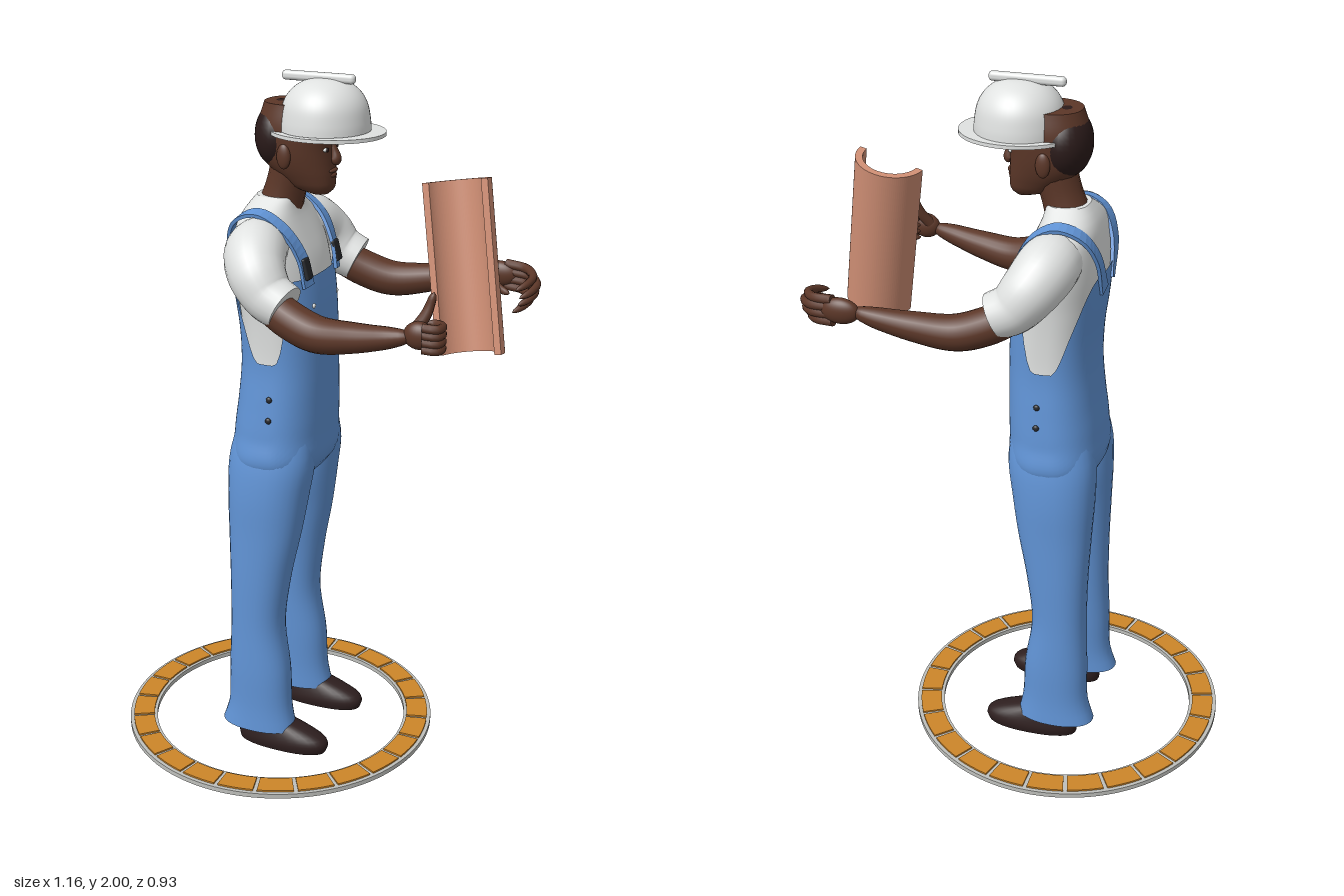
import * as THREE from 'three';
import { RoundedBoxGeometry } from 'three/addons/geometries/RoundedBoxGeometry.js';

const V = (x, y, z) => new THREE.Vector3(x, y, z);
const mat = (name, color, side = THREE.FrontSide) => {
  const m = new THREE.MeshStandardMaterial({ color, side });
  m.name = name;
  return m;
};

// Skin a list of equal-length rings, with creased flat caps
function loft(rings, caps = true) {
  const n = rings[0].length, pos = [], idx = [];
  rings.forEach(r => r.forEach(p => pos.push(p.x, p.y, p.z)));
  for (let i = 0; i < rings.length - 1; i++) for (let j = 0; j < n; j++) {
    const a = i * n + j, b = i * n + (j + 1) % n, c = a + n, d = b + n;
    idx.push(a, c, b, b, c, d);
  }
  if (caps) [rings[0], rings[rings.length - 1]].forEach((r, end) => {
    const s = pos.length / 3, mid = V(0, 0, 0);
    r.forEach(p => { pos.push(p.x, p.y, p.z); mid.addScaledVector(p, 1 / n); });
    pos.push(mid.x, mid.y, mid.z);
    for (let j = 0; j < n; j++) {
      const k = (j + 1) % n;
      idx.push(s + n, s + (end ? k : j), s + (end ? j : k));
    }
  });
  const g = new THREE.BufferGeometry();
  g.setAttribute('position', new THREE.Float32BufferAttribute(pos, 3));
  g.setIndex(idx);
  g.computeVertexNormals();
  return g;
}

// Rows of [y, centre x, half x, centre z, half z] sampled smoothly into superellipse rings
function sampler(rows) {
  const f = new THREE.CubicInterpolant(rows.map(r => r[0]), rows.flatMap(r => r.slice(1)), 4);
  return (y, a, p = 2, grow = 0) => {
    const [cx, rx, cz, rz] = f.evaluate(y), c = Math.cos(a), s = Math.sin(a);
    const e = v => Math.sign(v) * Math.abs(v) ** (2 / p);
    return V(cx + (rx + grow) * e(c), y, cz + (rz + grow) * e(s));
  };
}
function stack(rows, p = 2, steps = 24, n = 32) {
  const at = sampler(rows), y0 = rows[0][0], y1 = rows[rows.length - 1][0];
  return loft(Array.from({ length: steps + 1 }, (_, i) => Array.from({ length: n },
    (_, j) => at(y0 + (y1 - y0) * i / steps, j / n * Math.PI * 2, p))));
}

// Tapering tube through [x, y, z, radius] points
function limb(pts, round = false, steps = 20, n = 16) {
  const curve = new THREE.CatmullRomCurve3(pts.map(p => V(p[0], p[1], p[2])));
  const rad = new THREE.CatmullRomCurve3(pts.map(p => V(p[3], 0, 0)), false, 'catmullrom');
  const fr = curve.computeFrenetFrames(steps);
  return loft(Array.from({ length: steps + 1 }, (_, i) => {
    const u = i / steps, c = curve.getPointAt(u);
    let r = rad.getPoint(curve.getUtoTmapping(u)).x;
    if (round && u > 0.8) r *= Math.max(0.08, Math.sqrt(1 - ((u - 0.8) / 0.2) ** 2));
    return Array.from({ length: n }, (_, j) => {
      const a = j / n * Math.PI * 2;
      return c.clone().addScaledVector(fr.normals[i], r * Math.cos(a))
        .addScaledVector(fr.binormals[i], -r * Math.sin(a));
    });
  }));
}

// Flat strap lying on the body along a path
function strapGeometry(pts, hw, ht) {
  const curve = new THREE.CatmullRomCurve3(pts.map(p => V(...p)));
  const g = loft(Array.from({ length: 29 }, (_, i) => {
    const p = curve.getPointAt(i / 28), t = curve.getTangentAt(i / 28);
    const out = p.clone().sub(V(-0.09, 1.45, p.z * 0.75));
    out.addScaledVector(t, -out.dot(t)).normalize();
    const w = out.clone().cross(t);
    return [[1, 1], [-1, 1], [-1, -1], [1, -1]].map(([a, b]) =>
      p.clone().addScaledVector(out, a * ht).addScaledVector(w, b * hw));
  })).toNonIndexed();
  g.computeVertexNormals();
  return g;
}

// Ring sector lying flat, rising from y0 to y1
function sector(r0, r1, a0, a1, y0, y1) {
  const s = new THREE.Shape();
  s.absarc(0, 0, r1, a0, a1, false);
  if (a1 - a0 > 6.28) s.holes.push(new THREE.Path().absarc(0, 0, r0, 0, Math.PI * 2, true));
  else s.absarc(0, 0, r0, a1, a0, true);
  return new THREE.ExtrudeGeometry(s, { depth: y1 - y0, bevelEnabled: false, curveSegments: a1 - a0 > 6 ? 96 : 6 })
    .rotateX(-Math.PI / 2).translate(-0.11, y0, 0);
}

export function createModel() {
  const root = new THREE.Group();
  root.name = 'worker';
  const blue = mat('denim blue', 0x6194d6, THREE.DoubleSide), white = mat('white', 0xe0e2e1, THREE.DoubleSide);
  const skin = mat('skin', 0x5c3728), dark = mat('hair', 0x2b1b1a), shoe = mat('shoe leather', 0x2e1f1f);
  const clay = mat('clay', 0xd08f75), brick = mat('brick orange', 0xcd8629), grey = mat('mortar grey', 0xbfc0bc);
  const metal = mat('buckle', 0x26282c);
  const add = (name, geo, m) => {
    const mesh = new THREE.Mesh(geo, m);
    mesh.name = name;
    root.add(mesh);
    return mesh;
  };
  const ball = (name, m, x, y, z, rx, ry, rz) =>
    add(name, new THREE.SphereGeometry(1, 28, 20).scale(rx, ry, rz).translate(x, y, z), m);

  // Brick circle on the ground
  add('ringBase', sector(0.383, 0.466, 0, Math.PI * 2, 0.012, 0.026), grey);
  for (let i = 0; i < 24; i++)
    add('ringBrick', sector(0.392, 0.455, (i + 0.05) * Math.PI / 12, (i + 0.95) * Math.PI / 12, 0.02, 0.031), brick);

  // Torso: shirt, and overalls cut low at the sides
  const body = sampler([[0.84, -0.09, 0.07, 0, 0.10], [0.9, -0.085, 0.12, 0, 0.175], [1.0, -0.08, 0.125, 0, 0.174],
    [1.1, -0.073, 0.12, 0, 0.165], [1.2, -0.069, 0.116, 0, 0.156], [1.3, -0.072, 0.116, 0, 0.158],
    [1.4, -0.082, 0.118, 0, 0.166], [1.5, -0.095, 0.11, 0, 0.18], [1.57, -0.105, 0.092, 0, 0.18],
    [1.61, -0.11, 0.08, 0, 0.155], [1.64, -0.108, 0.068, 0, 0.105], [1.665, -0.1, 0.058, 0, 0.065]]);
  const N = 72, angles = Array.from({ length: N }, (_, j) => j / N * Math.PI * 2);
  add('shirt', loft(Array.from({ length: 31 }, (_, i) => angles.map(a => body(1.14 + 0.525 * i / 30, a, 2.4)))), white);
  const topEdge = a => {
    const c = Math.cos(a);
    return c > 0 ? 1.22 + 0.24 * THREE.MathUtils.smoothstep(c, 0.12, 0.68)
      : 1.22 + 0.27 * THREE.MathUtils.smoothstep(-c, 0.15, 0.97);
  };
  add('overallsBody', loft(Array.from({ length: 31 }, (_, i) =>
    angles.map(a => body(THREE.MathUtils.lerp(0.84, topEdge(a), i / 30), a, 2.4, 0.008))), false), blue);

  for (const s of [1, -1]) {
    // Straps, buckles and hip buttons
    add('strap', strapGeometry([[0.03, 1.44, 0.1 * s], [0.014, 1.52, 0.108 * s], [-0.03, 1.595, 0.125 * s],
      [-0.1, 1.637, 0.132 * s], [-0.165, 1.617, 0.122 * s], [-0.203, 1.55, 0.09 * s], [-0.212, 1.44, 0.045 * s]], 0.021, 0.005), blue);
    const buckle = add('buckle', new RoundedBoxGeometry(0.012, 0.06, 0.036, 2, 0.005), metal);
    buckle.position.set(0.027, 1.49, 0.103 * s);
    buckle.rotation.z = 0.25;
    ball('bibButton', white, 0.037, 1.38, 0.08 * s, 0.005, 0.007, 0.007);
    for (const y of [1.12, 1.06]) ball('hipButton', metal, -0.06, y, (y > 1.1 ? 0.17 : 0.177) * s, 0.009, 0.009, 0.006);

    // Trouser leg and shoe
    add('trouserLeg', stack([[0.06, -0.115, 0.116, 0.14 * s, 0.066], [0.12, -0.112, 0.1, 0.138 * s, 0.064],
      [0.25, -0.113, 0.094, 0.135 * s, 0.068], [0.4, -0.12, 0.081, 0.13 * s, 0.07], [0.55, -0.112, 0.09, 0.125 * s, 0.076],
      [0.7, -0.1, 0.108, 0.115 * s, 0.085], [0.82, -0.093, 0.12, 0.104 * s, 0.096], [0.92, -0.085, 0.126, 0.095 * s, 0.095],
      [1.0, -0.08, 0.115, 0.085 * s, 0.085]], 2.2, 32), blue);
    add('shoe', stack([[0, -0.04, 0.138, 0.137 * s, 0.05], [0.02, -0.038, 0.143, 0.137 * s, 0.055],
      [0.04, -0.042, 0.138, 0.137 * s, 0.052], [0.062, -0.062, 0.112, 0.137 * s, 0.046],
      [0.085, -0.09, 0.075, 0.137 * s, 0.04], [0.12, -0.11, 0.05, 0.137 * s, 0.036]], 2.3, 14), shoe);

    // Sleeve and bare arm
    add('sleeve', limb([[-0.1, 1.55, 0.1 * s, 0.075], [-0.09, 1.54, 0.18 * s, 0.084], [-0.062, 1.5, 0.232 * s, 0.079],
      [-0.02, 1.45, 0.25 * s, 0.07], [0.03, 1.425, 0.257 * s, 0.064]], false, 28, 24), white);
    add('arm', limb([[-0.02, 1.43, 0.25 * s, 0.05], [0.05, 1.395, 0.265 * s, 0.052], [0.13, 1.372, 0.278 * s, 0.05],
      [0.24, 1.382, 0.295 * s, 0.041], [0.35, 1.402, 0.31 * s, 0.029], [0.41, 1.415, 0.314 * s, 0.028]], true, 28, 20), skin);

    // Face details and ear
    ball('ear', skin, -0.05, 1.785, 0.083 * s, 0.02, 0.034, 0.011);
    ball('eyeWhite', white, 0.051, 1.802, 0.033 * s, 0.006, 0.006, 0.012);
    ball('iris', dark, 0.0555, 1.802, 0.033 * s, 0.004, 0.006, 0.006);
    const brow = ball('brow', dark, 0, 0, 0, 0.008, 0.006, 0.023);
    brow.position.set(0.054, 1.824, 0.036 * s);
    brow.rotation.x = -0.2 * s;
  }

  // Hand with raised thumb
  ball('palm', skin, 0.425, 1.418, 0.31, 0.042, 0.037, 0.026);
  for (let i = 0; i < 4; i++) {
    const y = 1.445 - i * 0.019;
    add('finger', limb([[0.44, y, 0.328, 0.012], [0.478, y, 0.325, 0.012], [0.482, y, 0.295, 0.011],
      [0.455, y, 0.278, 0.01], [0.435, y, 0.288, 0.008]], true, 16, 10), skin);
  }
  add('thumb', limb([[0.41, 1.43, 0.3, 0.016], [0.432, 1.465, 0.285, 0.015], [0.442, 1.495, 0.278, 0.012],
    [0.45, 1.525, 0.275, 0.01]], true, 16, 10), skin);

  // Open hand with curled fingers
  ball('palm', skin, 0.44, 1.412, -0.318, 0.055, 0.037, 0.024);
  for (let i = 0; i < 4; i++) {
    const y = 1.442 - i * 0.021, k = [0, 0.012, 0.008, -0.006][i];
    add('finger', limb([[0.46, y, -0.32, 0.014], [0.52 + k, y - 0.004, -0.308, 0.013], [0.554 + k, y - 0.012, -0.262, 0.012],
      [0.55 + k, y - 0.022, -0.22, 0.011], [0.528 + k, y - 0.034, -0.183, 0.009]], true, 20, 10), skin);
  }
  add('thumb', limb([[0.41, 1.405, -0.305, 0.016], [0.435, 1.395, -0.275, 0.015], [0.47, 1.385, -0.25, 0.011],
    [0.495, 1.38, -0.238, 0.009]], true, 16, 10), skin);

  // Head
  add('neck', limb([[-0.1, 1.62, 0, 0.062], [-0.078, 1.69, 0, 0.057], [-0.055, 1.77, 0, 0.06]]), skin);
  add('head', stack([[1.676, 0.022, 0.022, 0, 0.024], [1.688, 0.008, 0.05, 0, 0.042], [1.72, -0.015, 0.078, 0, 0.06],
    [1.76, -0.038, 0.099, 0, 0.075], [1.8, -0.045, 0.104, 0, 0.083], [1.86, -0.045, 0.108, 0, 0.086],
    [1.92, -0.045, 0.09, 0, 0.075]], 2.2), skin);
  add('nose', limb([[0.05, 1.82, 0, 0.009], [0.062, 1.795, 0, 0.011], [0.066, 1.772, 0, 0.016], [0.056, 1.762, 0, 0.014]], true), skin);
  ball('upperLip', skin, 0.056, 1.742, 0, 0.013, 0.007, 0.025);
  ball('lowerLip', skin, 0.054, 1.729, 0, 0.013, 0.008, 0.022);
  ball('hair', dark, -0.092, 1.828, 0, 0.07, 0.094, 0.089);

  // Hard hat
  const dome = [[0.137, -0.012], [0.137, 0], [0.124, 0.003], [0.122, 0.03], [0.114, 0.07], [0.097, 0.1], [0.07, 0.123],
    [0.035, 0.136], [0, 0.139]].map(p => new THREE.Vector2(...p));
  add('hatDome', new THREE.LatheGeometry(new THREE.SplineCurve(dome.slice(2)).getPoints(30), 48).translate(0.035, 1.848, 0), white);
  add('hatBrim', new THREE.CylinderGeometry(1, 1, 0.01, 56).scale(0.16, 1, 0.14).translate(0.042, 1.845, 0), white);
  add('hatRidge', new RoundedBoxGeometry(0.21, 0.026, 0.024, 4, 0.011).translate(0.016, 1.987, 0), white);

  // Half-round roof tile, hollow side towards +z
  const tile = new THREE.Shape();
  tile.absarc(0, 0, 0.098, 0, Math.PI, false);
  tile.absarc(0, 0, 0.078, Math.PI, 0, true);
  const foot = V(0.475, 1.29, 0.055), axis = V(0.395, 1.74, -0.02).sub(foot);
  const len = axis.length(), up = axis.normalize(), across = V(0.98, 0, 0.18);
  across.addScaledVector(up, -across.dot(up)).normalize();
  const tileGeo = new THREE.ExtrudeGeometry(tile, { depth: len, bevelEnabled: false, curveSegments: 28 });
  tileGeo.applyMatrix4(new THREE.Matrix4().makeBasis(across, up.clone().cross(across), up).setPosition(foot));
  add('roofTile', tileGeo, clay);

  return root;
}
